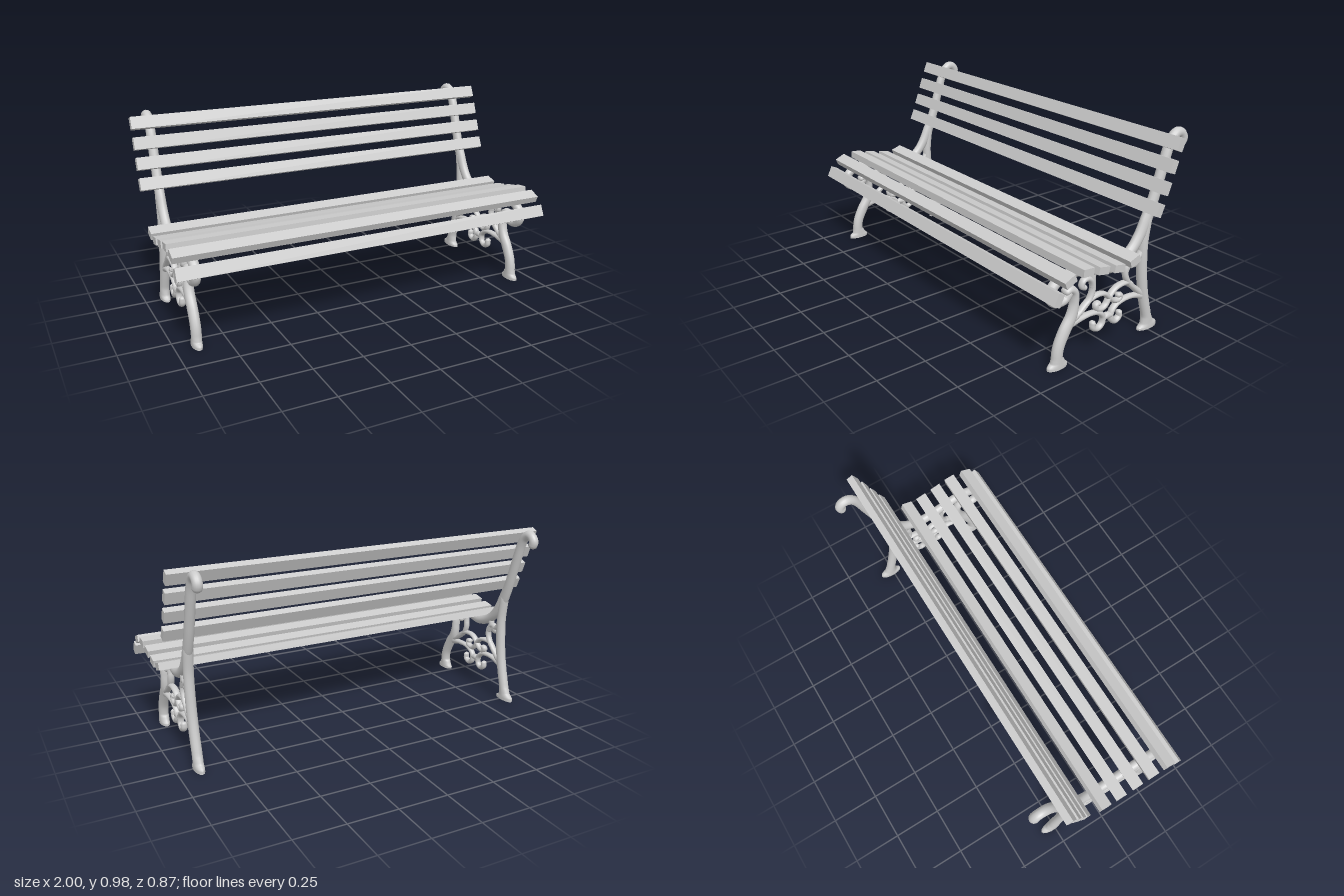
import * as THREE from 'three';

const iron = new THREE.MeshStandardMaterial({ color: 0xcccccc });
const wood = new THREE.MeshStandardMaterial({ color: 0xcccccc });
const SIDES = 14;

// Cast bar with an elliptical section, swept in the zy plane.
// points: [z, y, radius] in hundredths; halfWidth: half thickness along x.
function castBar(name, points, halfWidth, flatEnd = false) {
  const curve = new THREE.CatmullRomCurve3(points.map(([z, y]) => new THREE.Vector3(0, y / 100, z / 100)), false, 'centripetal');
  const last = points.length - 1;
  const steps = last * 5;
  const rings = [];
  for (let i = 0; i <= steps; i++) {
    const t = i / steps;
    const k = Math.min(Math.floor(t * last), last - 1);
    const r = THREE.MathUtils.lerp(points[k][2], points[k + 1][2], t * last - k) / 100;
    rings.push({ p: curve.getPoint(t), t: curve.getTangent(t), r, s: 1 });
  }
  // Rounded tips, or a flat sole under a foot
  const tip = (ring, dir) => [0.25, 0.5, 0.75, 1].map((f) => {
    const a = f * Math.PI / 2;
    return { ...ring, p: ring.p.clone().addScaledVector(ring.t, dir * ring.r * 0.8 * Math.sin(a)), s: Math.cos(a) };
  });
  const first = rings[0], end = rings[steps];
  const all = [...tip(first, -1).reverse(), ...rings, ...(flatEnd ? [{ ...end }, { ...end, s: 0 }] : tip(end, 1))];

  const pos = [], index = [];
  all.forEach(({ p, t, r, s }, i) => {
    for (let j = 0; j < SIDES; j++) {
      const a = (j / SIDES) * Math.PI * 2;
      const c = Math.cos(a) * r * s;
      pos.push(Math.sin(a) * halfWidth * s, p.y - t.z * c, p.z + t.y * c);
      if (i < all.length - 1) {
        const j2 = (j + 1) % SIDES, u = i * SIDES, v = u + SIDES;
        index.push(u + j, u + j2, v + j, u + j2, v + j2, v + j);
      }
    }
  });
  const geo = new THREE.BufferGeometry();
  geo.setAttribute('position', new THREE.Float32BufferAttribute(pos, 3));
  geo.setIndex(index);
  geo.computeVertexNormals();
  const mesh = new THREE.Mesh(geo, iron);
  mesh.name = name;
  return mesh;
}

// Backrest hook, back post and seat rail down to the front curl
const RAIL = [
  [-40.7, 91.2, 2.4], [-41.2, 93, 2.4], [-39.7, 95.3, 2.4], [-37.1, 95.9, 2.4], [-34.2, 94, 2.4],
  [-31.9, 89.8, 2.4], [-29.5, 82.8, 2.6], [-26.6, 73.6, 2.6], [-23.8, 65.3, 2.8], [-20.4, 57.4, 3.2],
  [-16.7, 50.7, 2.8], [-12.3, 45.4, 2.6], [-6.8, 41.8, 2.6], [0.3, 40, 2.7], [8.1, 41.3, 2.6],
  [15.9, 43.1, 2.5], [23.8, 44.6, 2.3], [30.3, 44.1, 2.4], [35.2, 41.5, 2.4], [37.3, 37.3, 2.4],
  [35.5, 33.9, 2.2], [32.1, 32.5, 2.1], [28.5, 33.2, 2.1], [26.8, 35.3, 2.4],
];
const FRONT_LEG = [
  [28, 36.6, 1.8], [25.8, 37.1, 1.9], [23.2, 35, 2], [22.7, 29.8, 1.9], [24, 23.5, 2.7], [27.7, 17.5, 3],
  [31.1, 10.4, 2.8], [31.9, 5.2, 2.8], [31.6, 2.9, 4], [31.6, 1.3, 5.7], [31.6, 0, 5.7],
];
const BACK_LEG = [
  [-21, 58, 2.4], [-19.6, 46, 2.3], [-19.9, 34.5, 2.6], [-21.2, 24, 2.6], [-23.2, 15, 2.6],
  [-25.4, 7, 2.6], [-26.1, 3.1, 3.8], [-26.3, 1.4, 6.2], [-26.3, 0, 6.3],
];

// Scrollwork between the legs
const SCROLLS = {
  frontUpperScroll: [
    [17, 35, 1.4], [18.5, 36, 1.3], [18, 38.3, 1.3], [15.5, 39, 1.3], [12.8, 37, 1.4], [11.8, 33, 1.4],
    [13.3, 28.5, 1.3], [17, 25, 1.3], [22.5, 21.5, 1.6],
  ],
  backUpperScroll: [
    [-14.6, 37.3, 2.3], [-14.4, 39.2, 1.8], [-12, 39.6, 1.5], [-9.6, 37.5, 1.4], [-9, 33.5, 1.4],
    [-10.8, 29.3, 1.4], [-15, 25, 1.4], [-21.2, 19.5, 1.8],
  ],
  frontRailStrut: [[11.8, 41.5, 1.6], [12.2, 38.5, 1.4], [11.9, 34, 1.4]],
  backRailStrut: [[-10.5, 43.5, 1.5], [-11.2, 40, 1.5], [-9.5, 36, 1.4]],
  backPostStrut: [[-14.5, 38.6, 1.5], [-17, 40.2, 1.5], [-19.3, 44, 1.5]],
  frontArch: [[20, 23, 1.2], [15, 27, 1.2], [9.5, 28.7, 1.2], [4.5, 28, 1.2], [1, 25, 1.3], [-2, 22.5, 1.3], [-5, 22, 1.4], [-6.4, 23.7, 1.4], [-4.8, 24.4, 1.3]],
  backArch: [[-15, 25, 1.2], [-11.5, 28.7, 1.2], [-7, 29.3, 1.2], [-2.5, 28.3, 1.2], [0.8, 25.5, 1.3], [3, 22, 1.3], [5.8, 20.8, 1.3], [9, 22, 1.3], [9.3, 24, 1.3], [7.6, 24.2, 1.3]],
  frontLowerScroll: [
    [24, 19.5, 2], [18, 20.3, 1.3], [12, 20.5, 1.2], [7.5, 19.4, 1.3], [4.5, 16.5, 1.4], [4.8, 13, 1.4],
    [7.5, 11.2, 1.4], [10.4, 12.6, 1.4], [10.6, 15, 1.4],
  ],
  backLowerScroll: [
    [-22, 18.5, 2], [-15, 20.7, 1.3], [-9, 21, 1.2], [-4, 19.8, 1.3], [-1, 16.8, 1.4], [-1, 13.3, 1.4],
    [-3.5, 11.3, 1.4], [-6.3, 12.8, 1.4], [-6.4, 15, 1.4],
  ],
  scrollLink: [[4.5, 15.7, 1.2], [1.8, 15.9, 1.7], [-1, 15.7, 1.2]],
};

function endFrame(name) {
  const frame = new THREE.Group();
  frame.name = name;
  frame.add(
    castBar('backAndSeatRail', RAIL, 0.024),
    castBar('frontLeg', FRONT_LEG, 0.025, true),
    castBar('backLeg', BACK_LEG, 0.025, true),
  );
  for (const [part, points] of Object.entries(SCROLLS)) frame.add(castBar(part, points, 0.017));
  return frame;
}

// Slats: [z, y, rise towards the back in degrees]
const SEAT = [[0.41, 0.407, 65], [0.347, 0.473, 24], [0.247, 0.486, -5], [0.155, 0.467, -12], [0.06, 0.448, -11], [-0.038, 0.454, 18]];
const BACK = [[-0.177, 0.658, 66], [-0.213, 0.753, 68], [-0.247, 0.847, 70], [-0.284, 0.941, 66]];

function slats(name, list) {
  const group = new THREE.Group();
  group.name = name + 's';
  const geo = new THREE.BoxGeometry(2, 0.036, 0.061);
  list.forEach(([z, y, rise], i) => {
    const slat = new THREE.Mesh(geo, wood);
    slat.name = name + (i + 1);
    slat.position.set(0, y, z);
    slat.rotation.x = THREE.MathUtils.degToRad(rise);
    group.add(slat);
  });
  return group;
}

export function createModel() {
  const bench = new THREE.Group();
  bench.name = 'bench';
  for (const [side, x] of [['left', 0.897], ['right', -0.897]]) {
    const frame = endFrame(side + 'EndFrame');
    frame.position.x = x;
    bench.add(frame);
  }
  bench.add(slats('seatSlat', SEAT), slats('backSlat', BACK));
  return bench;
}
